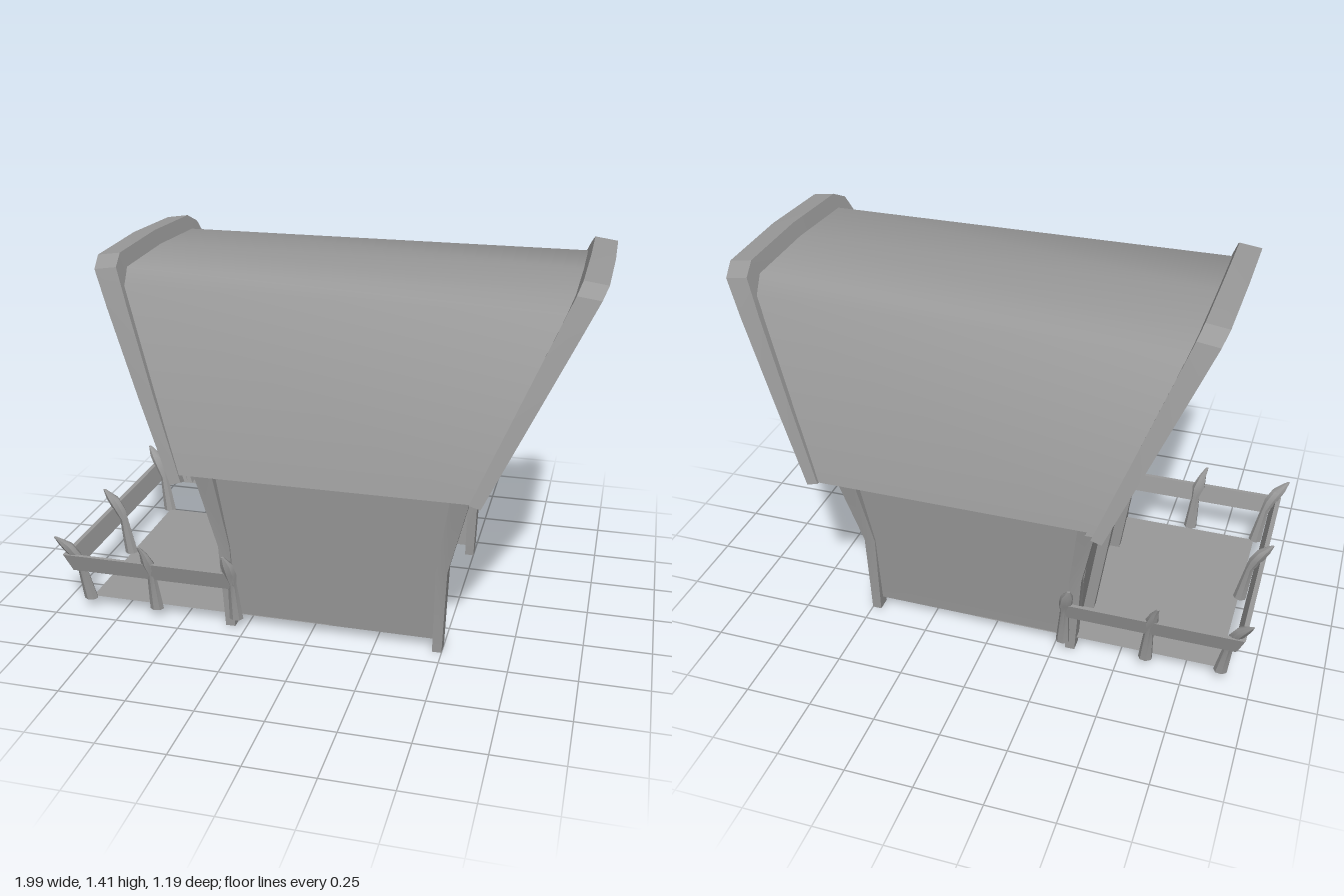
import * as THREE from 'three';
import { toCreasedNormals } from 'three/addons/utils/BufferGeometryUtils.js';

const material = new THREE.MeshStandardMaterial({ color: 0x999999, side: THREE.DoubleSide });

function add(group, name, geometry, crease = 0.5) {
  const mesh = new THREE.Mesh(toCreasedNormals(geometry, crease), material);
  mesh.name = name;
  group.add(mesh);
}

// Skin through rings of corner points; closed rings get end caps.
function loft(rings, closed = true) {
  const n = rings[0].length, index = [];
  for (let r = 0; r < rings.length - 1; r++) {
    for (let i = 0; i < (closed ? n : n - 1); i++) {
      const a = r * n + i, b = r * n + (i + 1) % n;
      index.push(a, a + n, b, b, a + n, b + n);
    }
  }
  if (closed) {
    const last = (rings.length - 1) * n;
    for (let i = 1; i < n - 1; i++) index.push(0, i, i + 1, last, last + i + 1, last + i);
  }
  const g = new THREE.BufferGeometry();
  g.setAttribute('position', new THREE.Float32BufferAttribute(rings.flat(2), 3));
  g.setIndex(index);
  return g;
}

// Horizontal rectangular section; its height may differ between the two x ends.
const rect = (y, x0, x1, z0, z1, y1 = y) => [[x0, y, z0], [x0, y, z1], [x1, y1, z1], [x1, y1, z0]];

// Half profile in (z, y), from the eave to the ridge, mirrored to a full arch.
const arch = half => [...half, ...half.slice(0, -1).reverse().map(([z, y]) => [-z, y])];

// Outline in (z, y) given thickness along x and leaned by the rule xAt(y).
function leaning(points, depth, xAt, hole) {
  const toShape = p => p.map(([z, y]) => new THREE.Vector2(-z, y));
  const shape = new THREE.Shape(toShape(points));
  if (hole) shape.holes.push(new THREE.Path(toShape(hole)));
  const g = new THREE.ExtrudeGeometry(shape, { depth, bevelEnabled: false });
  const p = g.attributes.position;
  for (let i = 0; i < p.count; i++) {
    const x = p.getX(i), y = p.getY(i), z = p.getZ(i);
    p.setXYZ(i, xAt(y) + z, y, -x);
  }
  g.computeVertexNormals();
  return g;
}

// Outer planes of the two flared roof ends, and the lean of the door wall.
const openEnd = y => 0.64 + (y - 0.665) * 0.49;
const doorEnd = y => -0.46 - (y - 0.64) * 0.447;
const doorWall = y => -0.31 - (y - 0.04) * 0.15;

function addRoof(group) {
  // Few sections with smooth normals give a soft, broad curve
  const profile = arch([[0.585, 0.675], [0.405, 1.3], [0.33, 1.35], [0, 1.36]]);
  const rings = profile.map(([z, y]) => [[doorEnd(y) + 0.03, y, z], [openEnd(y) - 0.03, y, z]]);
  add(group, 'roof', loft(rings, false), 1.2);

  // Thick trims that frame both ends
  const outer = arch([[0.597, 0.665], [0.53, 0.93], [0.45, 1.23], [0.41, 1.355], [0.34, 1.39], [0, 1.4]]);
  const inner = arch([[0.555, 0.665], [0.46, 0.92], [0.385, 1.2], [0.345, 1.28], [0.29, 1.31], [0, 1.32]]);
  for (const [name, xAt, dir, drop] of [['openEndTrim', openEnd, 1, 0], ['doorEndTrim', doorEnd, -1, 0.025]]) {
    const sections = outer.map(([z, y], i) => {
      const [zi, yi] = inner[i];
      const low = i === 0 || i === outer.length - 1 ? drop : 0;
      const width = 0.04 + 0.045 * (y - 0.665) / 0.735;
      const yo = y - low, yb = yi - low;
      return [
        [xAt(yo), yo, z], [xAt(yo) - dir * width, yo + 0.012, z],
        [xAt(yb) - dir * width, yb, zi], [xAt(yb), yb, zi],
      ];
    });
    add(group, name, loft(sections), 0.35);
  }

  // Closed gable above the door, with an arched sill beam
  const gable = profile.slice(1, -1).map(([z, y]) => [z * 0.97, y - 0.02]);
  add(group, 'gable', leaning([[0.56, 0.65], ...gable, [-0.56, 0.65]], 0.015, y => doorEnd(y) + 0.04));
  const sill = [[-0.56, 0.64], [-0.28, 0.655], [0, 0.662], [0.28, 0.655], [0.56, 0.64],
    [0.53, 0.75], [0.27, 0.768], [0, 0.775], [-0.27, 0.768], [-0.53, 0.75]];
  add(group, 'gableSill', leaning(sill, 0.05, y => doorEnd(y) + 0.02));
}

function addWalls(group) {
  for (const s of [1, -1]) {
    add(group, 'sideWall', loft([
      rect(0.04, -0.31, 0.48, s * 0.385, s * 0.405),
      rect(0.33, -0.335, 0.5, s * 0.405, s * 0.425),
      rect(0.66, -0.39, 0.57, s * 0.43, s * 0.45),
    ]));
    add(group, 'wallBeam', loft([
      rect(0.635, -0.4, 0.575, s * 0.405, s * 0.46),
      rect(0.69, -0.42, 0.595, s * 0.405, s * 0.48),
    ]));
    // Corner posts, upright below and flaring above, with sloping tops
    const posts = [
      [[0.465, 0.5], [0.47, 0.512], [0.535, 0.605], 0.725, 0.7],
      [[-0.33, -0.293], [-0.35, -0.305], [-0.43, -0.36], 0.7, 0.725],
    ];
    for (const [foot, bend, top, y0, y1] of posts) {
      add(group, 'cornerPost', loft([
        rect(0, ...foot, s * 0.375, s * 0.43),
        rect(0.33, ...bend, s * 0.37, s * 0.432),
        rect(y0, ...top, s * 0.4, s * 0.493, y1),
      ]));
    }
  }
  // End wall with door and frame
  const box = (w, y0, y1) => [[w, y0], [w, y1], [-w, y1], [-w, y0]];
  const wall = [[0.375, 0.04], [0.42, 0.64], [0.2, 0.66], [-0.2, 0.66], [-0.42, 0.64], [-0.375, 0.04]];
  const opening = box(0.19, 0.045, 0.51);
  add(group, 'doorWall', leaning(wall, 0.02, doorWall, opening));
  const frame = [[0.225, 0.04], [0.225, 0.555], [-0.225, 0.555], [-0.225, 0.04],
    [-0.19, 0.04], [-0.19, 0.51], [0.19, 0.51], [0.19, 0.04]];
  add(group, 'doorFrame', leaning(frame, 0.07, y => doorWall(y) - 0.04));
  add(group, 'door', leaning(opening, 0.012, doorWall));
}

function addDeck(group) {
  const floor = new THREE.PlaneGeometry(0.95, 0.82);
  floor.rotateX(-Math.PI / 2);
  floor.translate(-0.405, 0.043, 0);
  add(group, 'floor', floor);

  // Horn-shaped posts leaning outward along (dx, dz); tip is the radius of the head
  const post = (x, z, dx, dz, tip) => {
    const rings = [[0.04, 0.027, 0], [0.19, 0.017, 0.02], [0.235, 0.026, 0.035], [0.28, tip, 0.055], [0.315, 0.006, 0.08]]
      .map(([y, r, lean]) => Array.from({ length: 7 }, (_, i) => {
        const a = i / 7 * Math.PI * 2;
        return [x + dx * lean + r * Math.cos(a), y, z + dz * lean + r * 0.85 * Math.sin(a)];
      }));
    add(group, 'railPost', loft(rings), 0.7);
  };
  for (const s of [1, -1]) {
    post(-0.885, s * 0.42, -1.3, s * 0.7, 0.026);
    post(-0.605, s * 0.435, -0.55, s * 0.6, 0.015);
    post(-0.285, s * 0.435, -0.4, s * 0.6, 0.024);
    add(group, 'sideRail', loft([
      rect(0.17, -0.935, -0.28, s * 0.44, s * 0.455),
      rect(0.24, -0.965, -0.29, s * 0.458, s * 0.473),
    ]));
  }
  post(-0.885, 0.02, -1.3, 0, 0.026);
  add(group, 'endRail', loft([
    rect(0.17, -0.94, -0.925, -0.45, 0.45),
    rect(0.24, -0.968, -0.95, -0.468, 0.468),
  ]));
}

export function createModel() {
  const group = new THREE.Group();
  group.name = 'hut';
  addRoof(group);
  addWalls(group);
  addDeck(group);
  return group;
}
